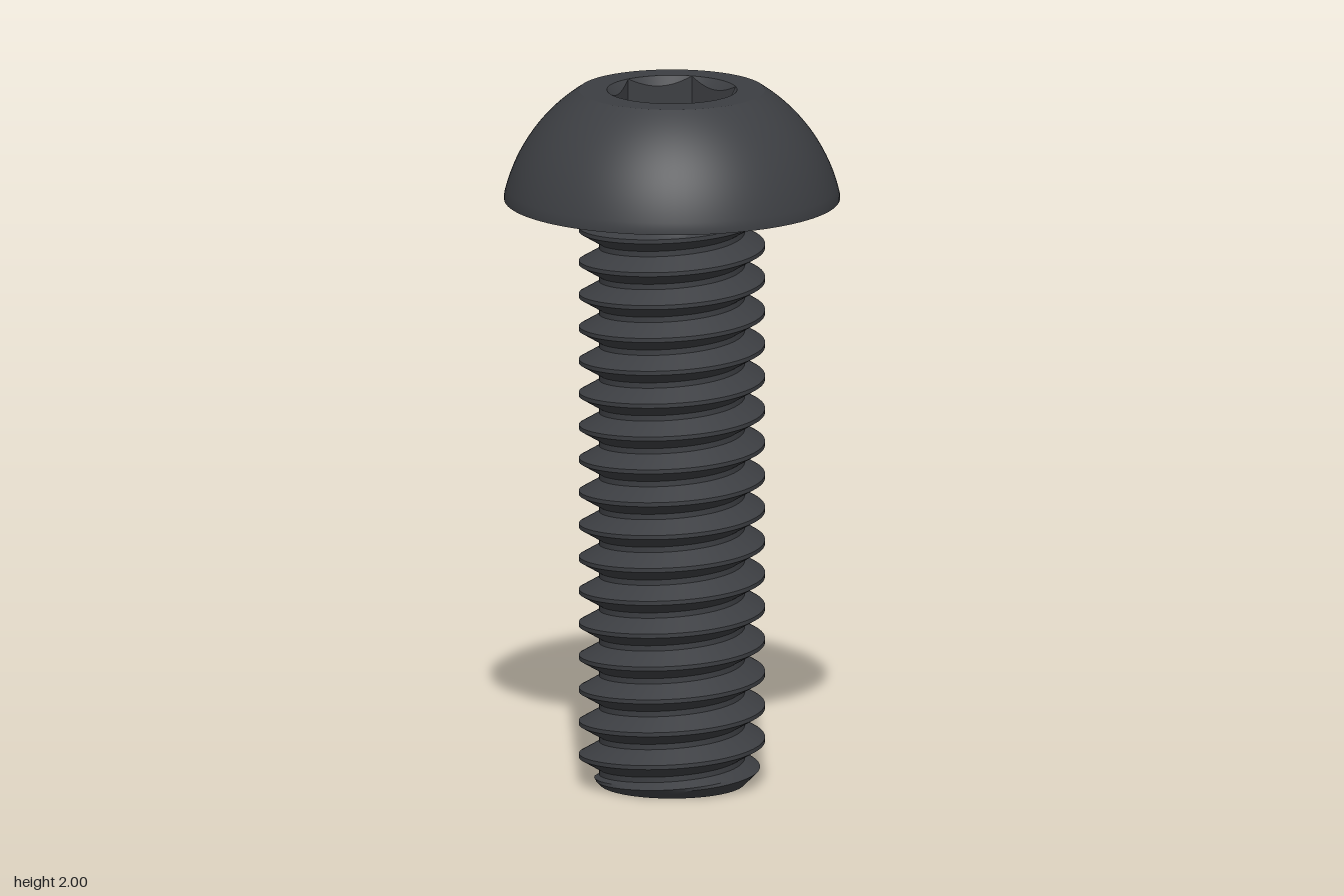
import * as THREE from 'three';
import { toCreasedNormals } from 'three/addons/utils/BufferGeometryUtils.js';

const SEG = 96;
const SHANK_TOP = 1.685;   // underside of the head
const CREST = 0.262, ROOT = 0.205;
const PITCH = 0.0948, START = 0.02;
const RIM = 0.1836, FLAT = 0.159, DEPTH = 0.22; // hex socket

// Closed surface around y: at(row, angle) returns [radius, height]
function ringSurface(rows, at) {
  const pos = [], idx = [], w = SEG + 1;
  for (let j = 0; j < rows; j++) {
    for (let i = 0; i <= SEG; i++) {
      const a = (i / SEG) * Math.PI * 2;
      const [r, y] = at(j, a);
      pos.push(r * Math.cos(a), y, -r * Math.sin(a));
      if (j < rows - 1 && i < SEG) {
        const p = j * w + i;
        idx.push(p, p + 1, p + w + 1, p, p + w + 1, p + w);
      }
    }
  }
  const g = new THREE.BufferGeometry();
  g.setAttribute('position', new THREE.Float32BufferAttribute(pos, 3));
  g.setIndex(idx);
  return toCreasedNormals(g, 0.5);
}

// Radius of the thread; t is the position within one pitch, crest at t = 0
function threadRadius(t) {
  const d = Math.abs(t - Math.round(t));
  const k = THREE.MathUtils.clamp((d - 0.0625) / 0.355, 0, 1);
  return THREE.MathUtils.lerp(CREST, ROOT, k);
}

// Threaded shank: rows follow the helix and are clipped at both ends
function shankGeometry() {
  const offsets = [-0.0625, 0.0625, 0.15, 0.24, 0.33, 0.4175, 0.5825, 0.67, 0.76, 0.85];
  const n = offsets.length, turns = 21;
  const rows = turns * n + 2;
  return ringSurface(rows, (j, a) => {
    if (j === 0) return [0, 0];
    const t = Math.floor((j - 1) / n) - 2 + offsets[(j - 1) % n];
    const raw = START + PITCH * (t + a / (Math.PI * 2));
    const y = j === rows - 1 ? SHANK_TOP : THREE.MathUtils.clamp(raw, 0, SHANK_TOP);
    let r = Math.min(threadRadius(t), ROOT + y);            // end chamfer
    r = Math.max(r, Math.min(CREST, CREST - (1.665 - y)));   // run-out under the head
    return [r, y];
  });
}

// Domed head with a flat ring on top
function headGeometry() {
  const pts = [new THREE.Vector2(0.2, SHANK_TOP), new THREE.Vector2(0.473, SHANK_TOP)];
  const cy = 1.591, R = 0.485;
  const a0 = Math.atan2(1.70 - cy, 0.473), a1 = Math.atan2(2 - cy, 0.262);
  for (let i = 0; i <= 20; i++) {
    const a = a0 + (a1 - a0) * i / 20;
    pts.push(new THREE.Vector2(R * Math.cos(a), cy + R * Math.sin(a)));
  }
  pts.push(new THREE.Vector2(RIM, 2));
  return toCreasedNormals(new THREE.LatheGeometry(pts, SEG), 0.5);
}

// Hex socket: conical lead-in, six walls and a flat floor
function socketGeometry() {
  const sector = Math.PI / 3;
  return ringSurface(4, (j, a) => {
    const m = a - Math.floor(a / sector + 1e-6) * sector - sector / 2;
    const hex = Math.min(RIM, FLAT / Math.cos(m));
    return [[RIM, 2], [hex, 2 - (RIM - hex)], [hex, 2 - DEPTH], [0, 2 - DEPTH]][j];
  });
}

export function createModel() {
  const model = new THREE.Group();
  model.name = 'buttonHeadBolt';
  const material = new THREE.MeshStandardMaterial({ color: 0x3c3e42 });
  const parts = {
    threadedShank: shankGeometry(),
    head: headGeometry(),
    hexSocket: socketGeometry(),
  };
  for (const [name, geometry] of Object.entries(parts)) {
    const mesh = new THREE.Mesh(geometry, material);
    mesh.name = name;
    model.add(mesh);
  }
  return model;
}
